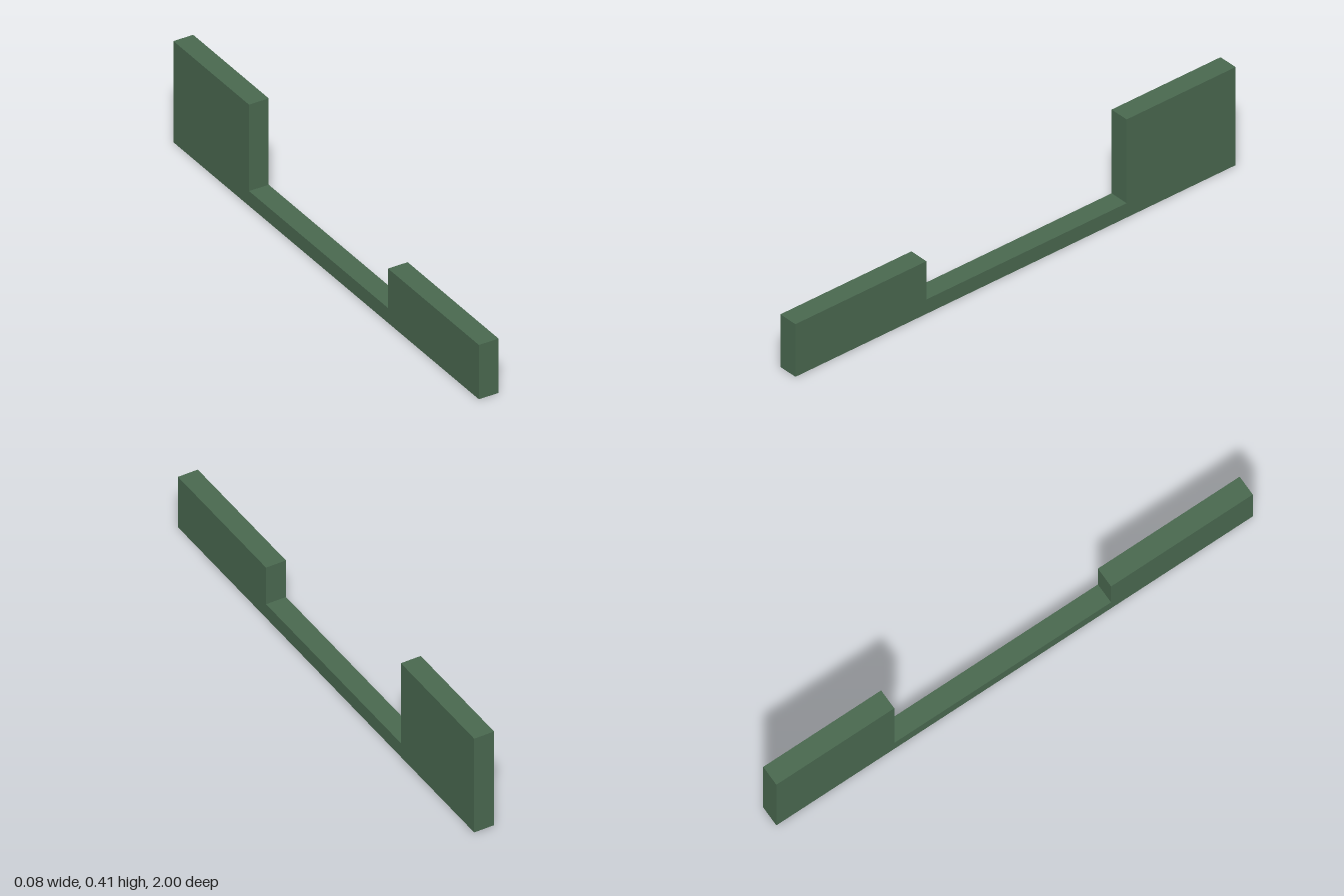
import * as THREE from 'three';

export function createModel() {
  const group = new THREE.Group();
  const green = new THREE.MeshStandardMaterial({ color: 0x4a6950 });
  green.name = 'mutedGreen';

  const width = 0.08;

  // Side profile: low front block, thin connecting strip, tall rear block.
  // The first coordinate runs from the front (-1) to the back (1).
  const profile = new THREE.Shape([
    [-1, 0], [1, 0], [1, 0.41], [0.505, 0.41],
    [0.505, 0.06], [-0.405, 0.06], [-0.405, 0.22], [-1, 0.22],
  ].map(([d, y]) => new THREE.Vector2(d, y)));

  // Extrude across the width, then turn the profile so its front faces +z
  const geometry = new THREE.ExtrudeGeometry(profile, { depth: width, bevelEnabled: false });
  geometry.translate(0, 0, -width / 2);
  geometry.rotateY(Math.PI / 2);

  const wall = new THREE.Mesh(geometry, green);
  wall.name = 'steppedWall';
  group.add(wall);
  return group;
}
